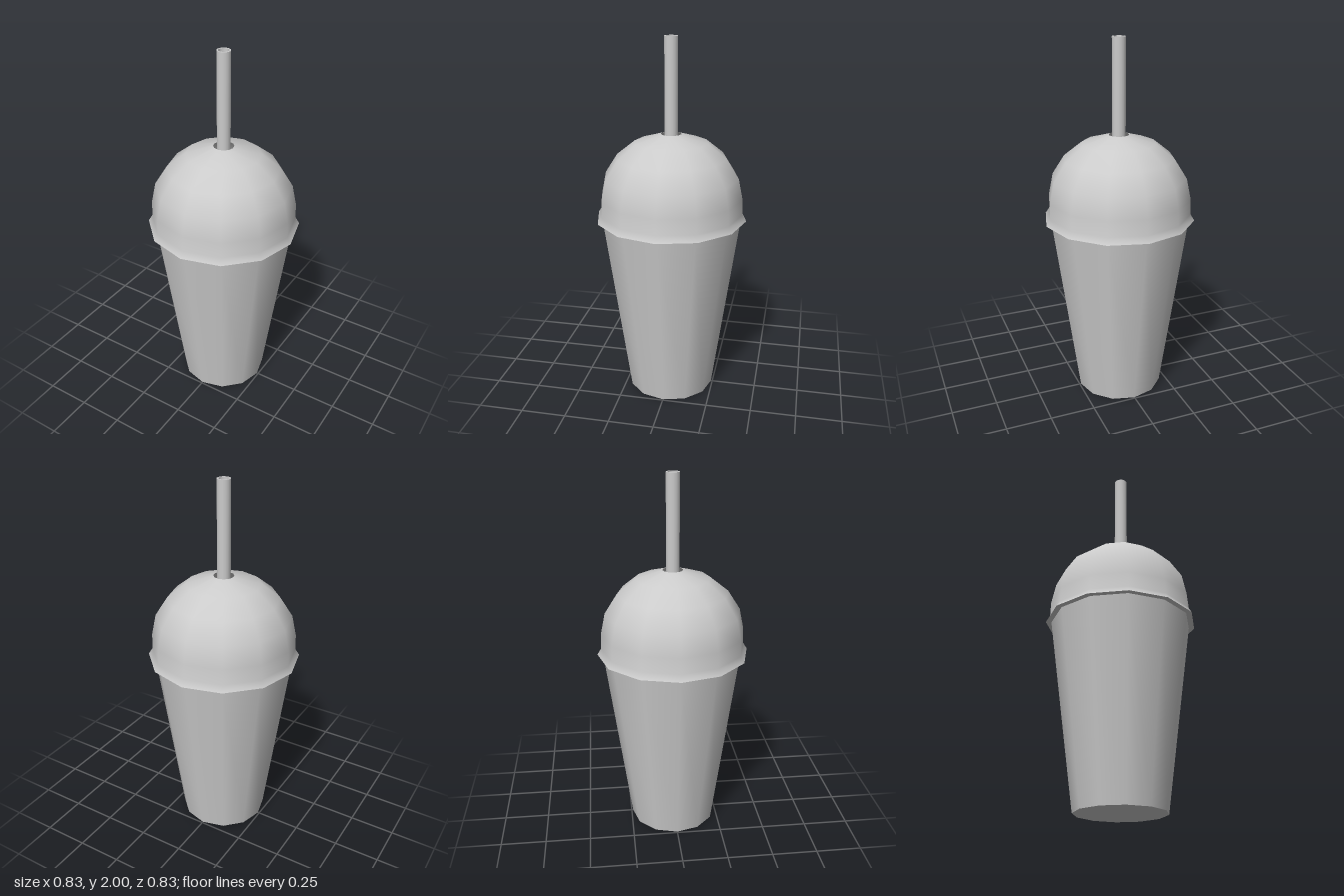
import * as THREE from 'three';
import { mergeGeometries } from 'three/addons/utils/BufferGeometryUtils.js';

const material = new THREE.MeshStandardMaterial({ color: 0xcccccc, side: THREE.DoubleSide });

// Each section is a smooth run of [radius, height] points; edges between sections stay sharp.
function turned(name, sides, sections) {
  const parts = sections.map((points) =>
    new THREE.LatheGeometry(points.map(([r, y]) => new THREE.Vector2(r, y)), sides));
  const mesh = new THREE.Mesh(mergeGeometries(parts), material);
  mesh.name = name;
  return mesh;
}

export function createModel() {
  const group = new THREE.Group();
  group.name = 'lidded drinking cup';

  // Tapered twelve-sided cup with a flat base
  group.add(turned('cup', 12, [
    [[0, 0], [0.242, 0]],
    [[0.242, 0], [0.385, 1.035]],
  ]));

  // Domed lid: flat underside of the lip, flared skirt and dome up to the straw hole
  group.add(turned('domeLid', 12, [
    [[0.38, 1.03], [0.415, 1.03]],
    [[0.415, 1.03], [0.393, 1.065], [0.391, 1.15], [0.367, 1.265],
      [0.3, 1.37], [0.2, 1.45], [0.055, 1.495]],
  ]));

  // Hollow straw running down into the cup
  group.add(turned('straw', 16, [
    [[0.036, 0.1], [0.036, 2]],
    [[0.036, 2], [0.027, 2]],
    [[0.027, 2], [0.027, 0.1]],
    [[0.027, 0.1], [0.036, 0.1]],
  ]));

  return group;
}
